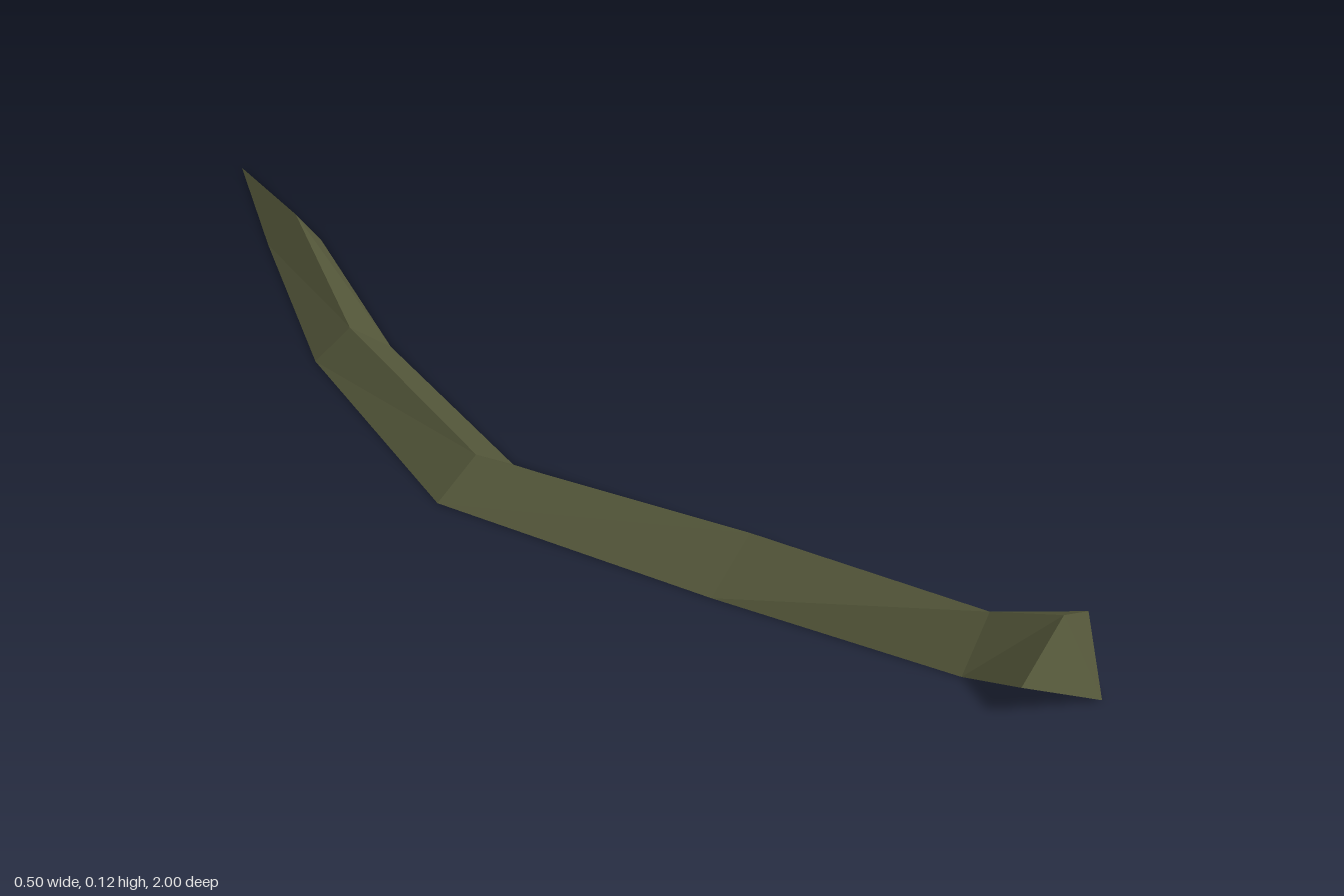
import * as THREE from 'three';

export function createModel() {
  const group = new THREE.Group();
  const olive = new THREE.MeshStandardMaterial({ color: 0x54573a, flatShading: true });
  olive.name = 'olive';

  // Three-sided sections from the tip to the neck: left edge, ridge, right edge
  const sections = [
    [[0.12, 0, -1], [0.12, 0, -1], [0.12, 0, -1]],
    [[0, 0, -0.75], [0.045, 0.052, -0.73], [0.08, 0, -0.71]],
    [[-0.155, 0, -0.4], [-0.1, 0.052, -0.38], [-0.035, 0, -0.36]],
    [[-0.248, 0, 0.04], [-0.17, 0.052, 0.035], [-0.095, 0, 0.03]],
    [[-0.09, 0, 0.48], [0, 0.064, 0.46], [0.07, 0, 0.44]],
    [[0.057, 0, 0.84], [0.115, 0.08, 0.83], [0.165, 0, 0.81]],
  ];
  // The underside starts at the left edge, then opens into a fourth corner at the flared end
  const rings = sections.map(([left, ridge, right]) => [left, ridge, right, left]);
  const end = [[0.047, 0.057, 0.96], [0.149, 0.118, 0.935], [0.247, 0.057, 0.895], [0.17, 0, 1]];
  rings.push(end);

  const corners = [];
  const triangle = (a, b, c) => {
    const face = new THREE.Triangle(...[a, b, c].map((p) => new THREE.Vector3(...p)));
    if (face.getArea() > 1e-7) corners.push(...a, ...b, ...c);
  };

  // Skin between neighbouring sections
  for (let i = 0; i < rings.length - 1; i++) {
    for (let j = 0; j < 4; j++) {
      const k = (j + 1) % 4;
      triangle(rings[i][j], rings[i + 1][j], rings[i + 1][k]);
      triangle(rings[i][j], rings[i + 1][k], rings[i][k]);
    }
  }
  // Four-cornered end face
  const [left, top, right, bottom] = end;
  triangle(left, bottom, top);
  triangle(bottom, right, top);

  const geometry = new THREE.BufferGeometry();
  geometry.setAttribute('position', new THREE.Float32BufferAttribute(corners, 3));
  geometry.computeVertexNormals();
  const branch = new THREE.Mesh(geometry, olive);
  branch.name = 'bentBranch';
  group.add(branch);
  return group;
}
